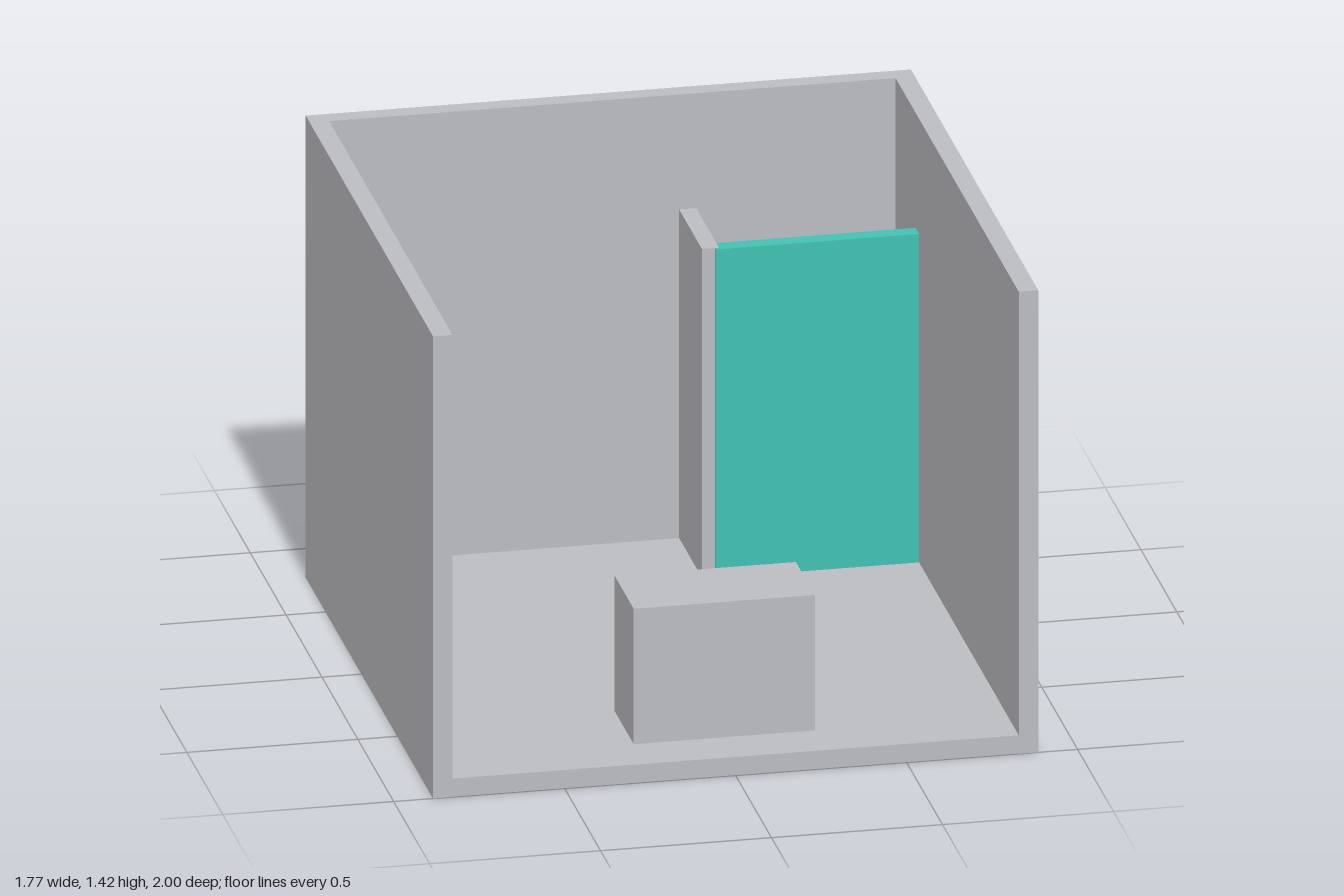
import * as THREE from 'three';

const grey = new THREE.MeshStandardMaterial({ color: 0xbbbcc0 });
grey.name = 'plain grey';
const teal = new THREE.MeshStandardMaterial({ color: 0x41c1b3 });
teal.name = 'teal';

// Box given by its lower and upper limits on each axis
function box(name, material, [x0, x1], [y0, y1], [z0, z1]) {
  const mesh = new THREE.Mesh(new THREE.BoxGeometry(x1 - x0, y1 - y0, z1 - z0), material);
  mesh.position.set((x0 + x1) / 2, (y0 + y1) / 2, (z0 + z1) / 2);
  mesh.name = name;
  return mesh;
}

export function createModel() {
  const model = new THREE.Group();
  model.name = 'room';

  // U-shaped walls, open at the front, drawn in plan (shape y = -z)
  const plan = new THREE.Shape([
    [-0.885, -1], [-0.828, -1], [-0.828, 0.718], [0.828, 0.718],
    [0.828, -1], [0.885, -1], [0.885, 0.775], [-0.885, 0.775],
  ].map(([x, y]) => new THREE.Vector2(x, y)));
  const wallGeometry = new THREE.ExtrudeGeometry(plan, { depth: 1.42, bevelEnabled: false });
  wallGeometry.rotateX(-Math.PI / 2);
  const walls = new THREE.Mesh(wallGeometry, grey);
  walls.name = 'walls';
  model.add(walls);

  // Floor, a hair above the base so the panel's foot shows underneath
  model.add(box('floor', grey, [-0.828, 0.828], [0.001, 0.057], [-0.718, 1]));

  // Partition running through the back wall, and the teal panel beside it
  model.add(box('partition', grey, [0.195, 0.245], [0.002, 1.067], [-1, -0.4]));
  model.add(box('panel', teal, [0.233, 0.828], [0, 1.066], [-0.44, -0.39]));

  // Block standing near the open front
  model.add(box('counter', grey, [-0.265, 0.265], [0.05, 0.473], [0.577, 0.842]));

  return model;
}
